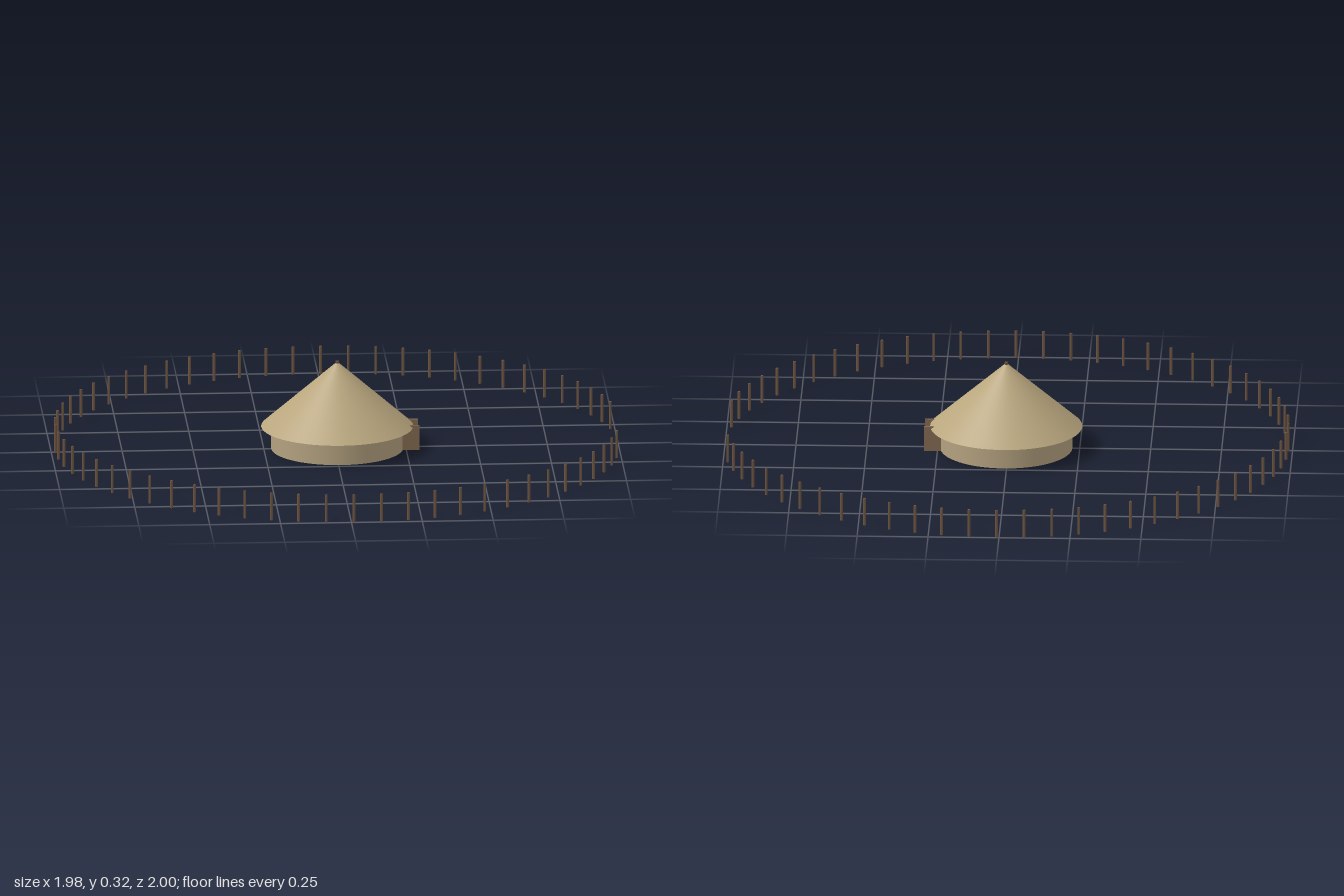
import * as THREE from 'three';

export function createModel() {
  const model = new THREE.Group();
  const mat = (name, color, side = THREE.FrontSide) => {
    const m = new THREE.MeshStandardMaterial({ color, side });
    m.name = name;
    return m;
  };
  const thatch = mat('thatch', 0xb9a67e, THREE.DoubleSide);
  const daub = mat('daub', 0xb3a17f, THREE.DoubleSide);
  const timber = mat('timber', 0x6b5340);
  const plank = mat('plank', 0x80674f);

  const add = (parent, name, geometry, material, x = 0, y = 0, z = 0) => {
    const mesh = new THREE.Mesh(geometry, material);
    mesh.name = name;
    mesh.position.set(x, y, z);
    parent.add(mesh);
    return mesh;
  };

  // Everything is centred on the hut; the fence gap shifts it slightly to +x
  const site = new THREE.Group();
  site.name = 'homestead';
  site.position.x = 0.009;
  model.add(site);

  // Ring of fence posts, three left out for the entrance on the +x side
  const fence = new THREE.Group();
  fence.name = 'fence';
  site.add(fence);
  const postCount = 64, ringRadius = 0.994;
  const postShape = new THREE.CylinderGeometry(0.005, 0.005, 0.1, 8);
  for (let i = 2; i <= postCount - 2; i++) {
    const a = (i / postCount) * Math.PI * 2;
    add(fence, 'fencePost', postShape, timber, ringRadius * Math.cos(a), 0.05, ringRadius * Math.sin(a));
  }

  // Round wall: two skins with stakes between, open at the door
  const hut = new THREE.Group();
  hut.name = 'hut';
  site.add(hut);
  const wallHeight = 0.085, doorHalf = 0.17;
  const start = Math.PI / 2 + doorHalf, sweep = Math.PI * 2 - doorHalf * 2;
  for (const [name, r] of [['outerWall', 0.233], ['innerWall', 0.217]]) {
    add(hut, name, new THREE.CylinderGeometry(r, r, wallHeight, 64, 1, true, start, sweep), daub, 0, wallHeight / 2);
  }
  const stakeShape = new THREE.CylinderGeometry(0.005, 0.005, wallHeight, 6);
  const stakes = 56;
  for (let i = 0; i <= stakes; i++) {
    const a = doorHalf + (i / stakes) * sweep;
    add(hut, 'wallStake', stakeShape, timber, 0.225 * Math.cos(a), wallHeight / 2, 0.225 * Math.sin(a));
  }

  // Conical roof and the central pole that carries it
  add(hut, 'roof', new THREE.ConeGeometry(0.268, 0.235, 64, 1, true), thatch, 0, 0.1975);
  add(hut, 'centrePole', new THREE.CylinderGeometry(0.007, 0.007, 0.317, 10), timber, 0, 0.1585);

  // Porch: side boards, door leaf and lintel
  for (const s of [-1, 1]) {
    add(hut, 'porchBoard', new THREE.BoxGeometry(0.082, 0.089, 0.009), plank, 0.247, 0.0445, s * 0.042);
  }
  add(hut, 'door', new THREE.BoxGeometry(0.008, 0.066, 0.076), plank, 0.226, 0.033);
  add(hut, 'lintel', new THREE.BoxGeometry(0.01, 0.012, 0.076), timber, 0.228, 0.072);

  return model;
}
